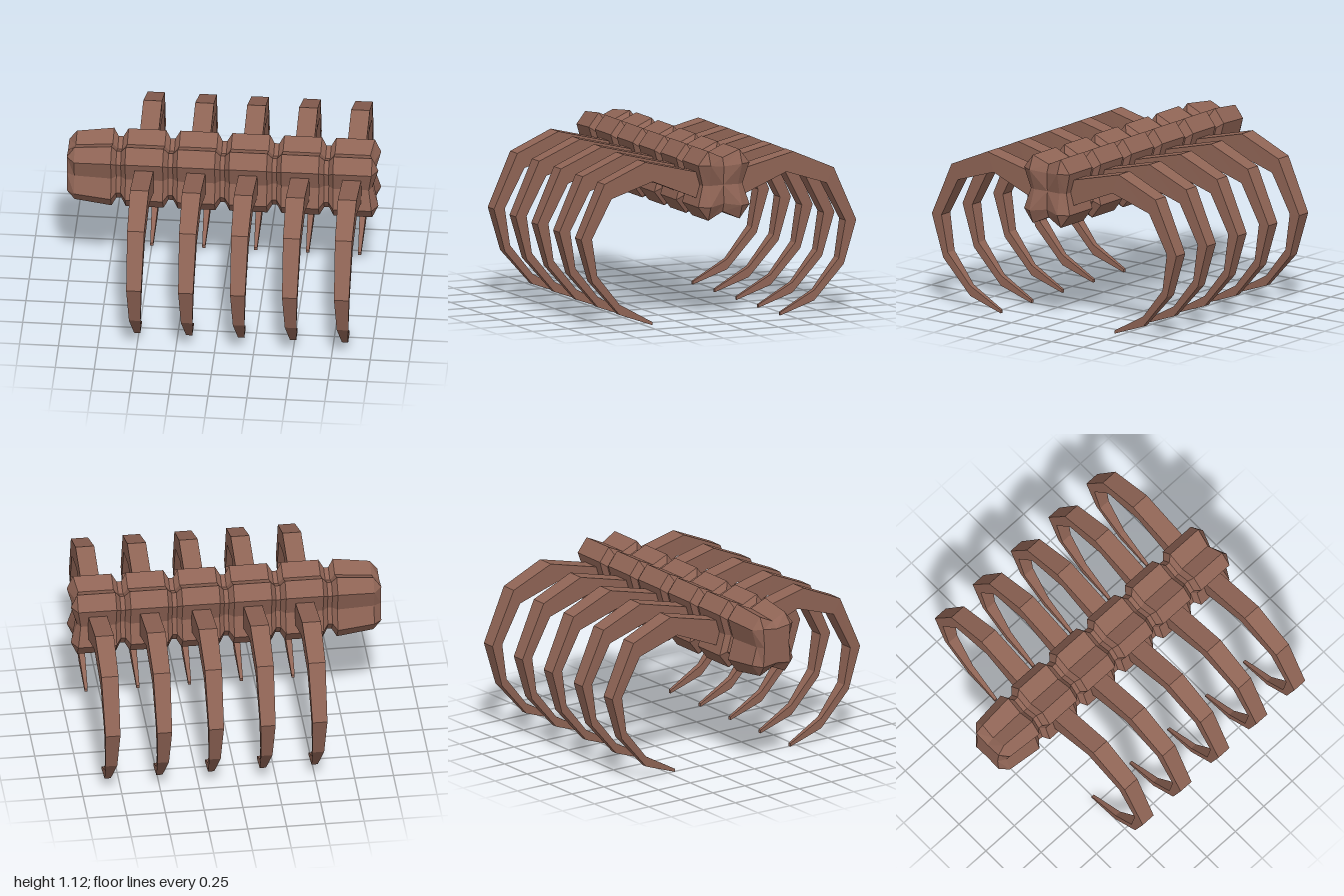
import * as THREE from 'three';

const CENTER_Y = 0.895;

// Skin a list of rings (arrays of [x, y, z]) and close both ends with a fan.
function loft(rings, startTip, endTip) {
  const pos = [];
  const tri = (a, b, c) => pos.push(...a, ...b, ...c);
  const n = rings[0].length;
  for (let i = 0; i < rings.length - 1; i++) {
    for (let j = 0; j < n; j++) {
      const k = (j + 1) % n;
      const a = rings[i][j], b = rings[i][k], c = rings[i + 1][k], d = rings[i + 1][j];
      tri(a, b, c);
      tri(a, c, d);
    }
  }
  const first = rings[0], last = rings[rings.length - 1];
  for (let j = 0; j < n; j++) {
    const k = (j + 1) % n;
    tri(startTip, first[k], first[j]);
    tri(endTip, last[j], last[k]);
  }
  const g = new THREE.BufferGeometry();
  g.setAttribute('position', new THREE.Float32BufferAttribute(pos, 3));
  g.computeVertexNormals();
  return g;
}

// Four-lobed vertebra section, half outline as [y, z] from top to bottom.
const LOBED = [[0.175, 0], [0.225, 0.11], [0.135, 0.18], [0, 0.14], [-0.135, 0.18], [-0.225, 0.11], [-0.175, 0]];
// End face section: each lobe closes to a single corner.
const END = [[0.12, 0], [0.135, 0.11], [0.135, 0.11], [0, 0.1], [-0.135, 0.11], [-0.135, 0.11], [-0.12, 0]];

function section(half, x, scale = 1, notchX = x) {
  const full = [...half, ...half.slice(1, -1).reverse().map(([y, z]) => [y, -z])];
  return full.map(([y, z], i) => [i % 3 === 0 ? notchX : x, CENTER_Y + y * scale, z * scale]);
}

function spineGeometry() {
  const rings = [section(END, -1, 0.95), section(LOBED, -0.95, 0.88)];
  // Grooves between vertebrae
  for (let i = -2; i <= 2; i++) {
    const x = i / 3;
    rings.push(section(LOBED, x - 0.046), section(LOBED, x - 0.015, 0.79));
    rings.push(section(LOBED, x + 0.015, 0.79), section(LOBED, x + 0.046));
  }
  // Hollowed end face
  rings.push(section(LOBED, 0.96, 1, 0.94), section(END, 1, 1, 0.96));
  return loft(rings, [-1, CENTER_Y, 0], [0.955, CENTER_Y, 0]);
}

// Rib stations: outer z, outer y, inner z, inner y, half width
const RIB = [
  [0.10, 0.965, 0.10, 0.785, 0.06],
  [0.52, 1.067, 0.47, 0.938, 0.06],
  [0.807, 0.943, 0.757, 0.845, 0.055],
  [0.968, 0.592, 0.892, 0.592, 0.048],
  [0.886, 0.31, 0.85, 0.348, 0.037],
  [0.685, 0.083, 0.685, 0.15, 0.02],
  [0.45, 0.0, 0.45, 0.02, 0.01],
];

function ribGeometry() {
  const rings = RIB.map(([zo, yo, zi, yi, w]) => [[w, yi, zi], [w, yo, zo], [-w, yo, zo], [-w, yi, zi]]);
  return loft(rings, [0, 0.875, 0.10], [0, 0.01, 0.45]);
}

export function createModel() {
  const model = new THREE.Group();
  model.name = 'ribCage';
  const bone = new THREE.MeshStandardMaterial({ color: 0x8f6455, flatShading: true });

  const spine = new THREE.Mesh(spineGeometry(), bone);
  spine.name = 'spine';
  model.add(spine);

  // Five pairs of ribs, one pair per vertebra behind the first
  const ribGeo = ribGeometry();
  for (let i = 0; i < 5; i++) {
    const pair = new THREE.Group();
    pair.name = `ribPair${i + 1}`;
    pair.position.x = -0.5 + i / 3;
    for (const side of ['front', 'back']) {
      const rib = new THREE.Mesh(ribGeo, bone);
      rib.name = `${side}Rib`;
      if (side === 'back') rib.rotation.y = Math.PI;
      pair.add(rib);
    }
    model.add(pair);
  }
  return model;
}
